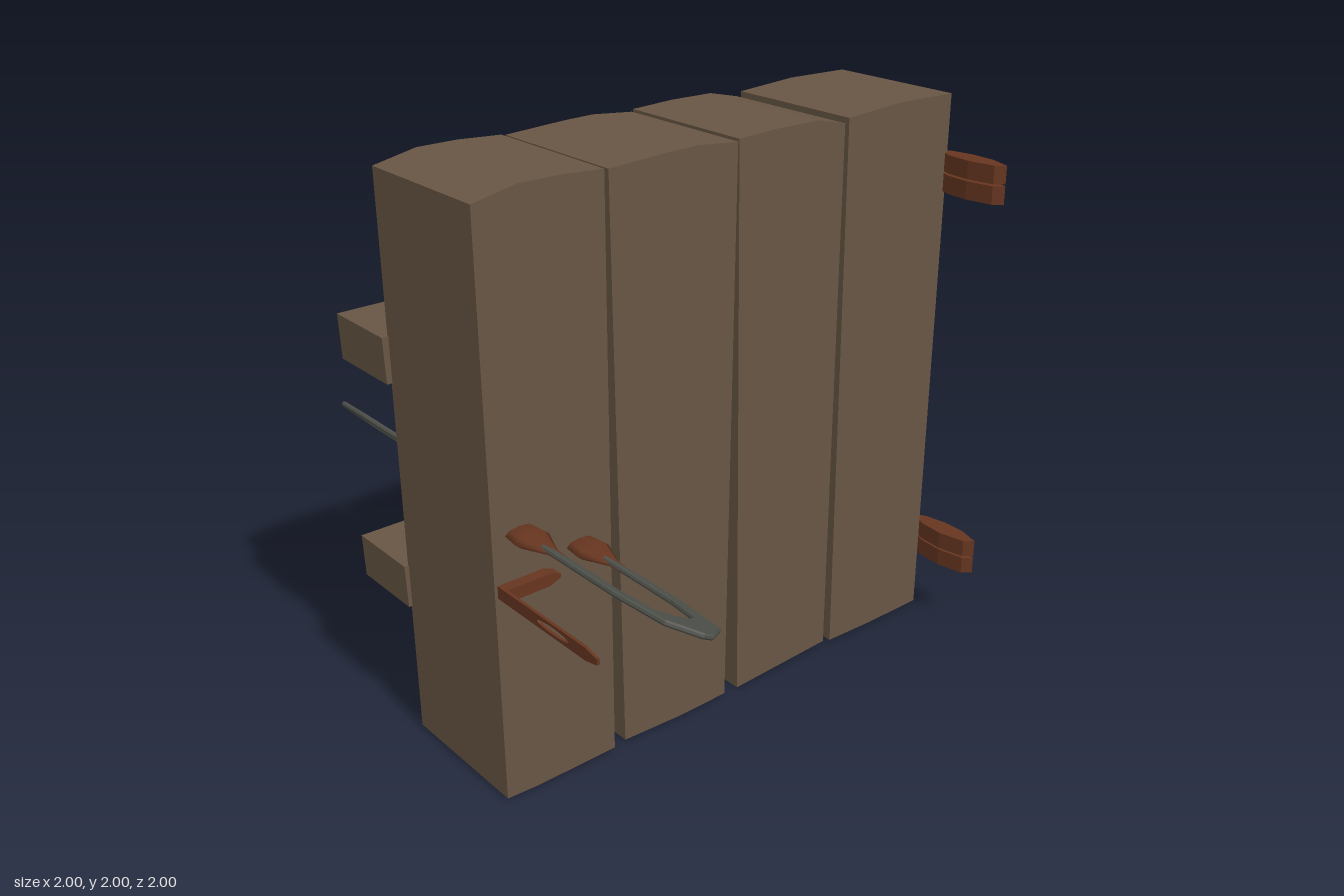
import * as THREE from 'three';

const wood = new THREE.MeshStandardMaterial({ name: 'weatheredWood', color: 0x685644 });
const rust = new THREE.MeshStandardMaterial({ name: 'rustedIron', color: 0x673620 });
const iron = new THREE.MeshStandardMaterial({ name: 'darkIron', color: 0x4e504a });

const toShape = (pts) => new THREE.Shape(pts.map(([x, y]) => new THREE.Vector2(x, y)));

function mesh(name, geometry, material, parent) {
  const m = new THREE.Mesh(geometry, material);
  m.name = name;
  parent.add(m);
  return m;
}

// Outline in x/y, pushed from z0 to z1
function slab(name, pts, z0, z1, material, parent) {
  const g = new THREE.ExtrudeGeometry(toShape(pts), { depth: z1 - z0, bevelEnabled: false });
  g.translate(0, 0, z0);
  return mesh(name, g, material, parent);
}

// Outline in x/z, raised from y0 to y1
function layer(name, pts, y0, y1, material, parent) {
  const g = new THREE.ExtrudeGeometry(toShape(pts.map(([x, z]) => [x, -z])), { depth: y1 - y0, bevelEnabled: false });
  g.rotateX(-Math.PI / 2);
  g.translate(0, y0, 0);
  return mesh(name, g, material, parent);
}

// Pull handle: a flat pointed loop between feet a and b, with flared rusty sockets
function pullHandle(name, a, b, side) {
  const group = new THREE.Group();
  group.name = name;
  const A = new THREE.Vector3(...a, 0), B = new THREE.Vector3(...b, 0);
  const u = B.clone().sub(A), h = u.length() / 2;
  u.normalize();
  const out = new THREE.Vector3(0, 0, side);
  const half = [[h + 0.013, 0.4], [h + 0.013, 0.74], [h - 0.016, 0.93], [0.018, 0.995]];
  const inner = [[0.03, 0.885], [h - 0.04, 0.86], [h - 0.014, 0.72], [h - 0.011, 0.4]];
  const right = [...half, ...half.map(([x, y]) => [-x, y]).reverse()];
  const left = [...inner.map(([x, y]) => [-x, y]).reverse(), ...inner];
  const g = new THREE.ExtrudeGeometry(toShape([...right, ...left]), {
    depth: 0.008, bevelThickness: 0.005, bevelSize: 0.005, bevelSegments: 1 });
  g.translate(0, 0, -0.004);
  const loop = mesh('handleLoop', g, iron, group);
  loop.quaternion.setFromRotationMatrix(
    new THREE.Matrix4().makeBasis(u, out, u.clone().cross(out)));
  loop.position.copy(A).add(B).multiplyScalar(0.5);

  const profile = [[0, 0.25], [0.05, 0.25], [0.06, 0.33], [0.02, 0.43], [0.017, 0.48], [0, 0.48]]
    .map(([r, y]) => new THREE.Vector2(r, y));
  for (const p of [A, B]) {
    const socket = new THREE.LatheGeometry(profile, 8);
    socket.rotateX(side * Math.PI / 2);
    socket.scale(1, 0.36, 1);
    mesh('handleSocket', socket, rust, group).position.copy(p);
  }
  return group;
}

export function createModel() {
  const model = new THREE.Group();
  model.name = 'woodenDoor';

  // Upright planks with uneven ends
  const planks = [
    [[-0.97, 0.012], [-0.85, 0.005], [-0.54, 0.005], [-0.53, 1.99], [-0.69, 2], [-0.83, 2], [-0.98, 1.97]],
    [[-0.495, 0.015], [-0.25, 0.003], [-0.05, 0.005], [-0.02, 1.985], [-0.18, 2], [-0.29, 1.998], [-0.515, 1.987]],
    [[0.01, 0.003], [0.44, 0.02], [0.442, 1.97], [0.32, 1.998], [0.15, 2], [-0.015, 1.993]],
    [[0.475, 0.01], [0.7, 0.002], [0.94, 0.002], [0.955, 1.995], [0.7, 2], [0.46, 1.985]],
  ];
  planks.forEach((p, i) => slab('plank' + (i + 1), p, -0.255, 0.265, wood, model));

  // Cross rails on the back
  slab('upperRail', [[-0.995, 1.285], [0.9, 1.285], [0.94, 1.355], [0.94, 1.44], [-1, 1.44]], -0.53, -0.25, wood, model);
  slab('lowerRail', [[-0.985, 0.487], [0.94, 0.487], [0.91, 0.64], [-0.99, 0.64]], -0.53, -0.25, wood, model);

  // Rust stain running over the top of the upper rail
  layer('rustStain', [[-0.45, -0.53], [-0.4, -0.52], [-0.36, -0.51], [-0.3, -0.52], [-0.16, -0.515],
    [-0.145, -0.43], [-0.1, -0.415], [-0.055, -0.43], [-0.045, -0.48], [0, -0.51], [0.03, -0.48],
    [0.04, -0.435], [0.12, -0.42], [0.23, -0.42], [0.24, -0.47], [0.27, -0.5], [0.285, -0.45],
    [0.3, -0.415], [0.4, -0.42], [0.41, -0.49], [0.5, -0.515], [0.54, -0.53]], 1.437, 1.443, rust, model);

  // Hinges: two leaf-shaped knuckles each
  const leaf = [[0.965, 0.222], [0.985, 0.26], [1, 0.34], [0.998, 0.43], [0.972, 0.512],
    [0.94, 0.485], [0.922, 0.385], [0.93, 0.29]];
  for (const [name, y] of [['upperHinge', 1.655], ['lowerHinge', 0.223]]) {
    const hinge = new THREE.Group();
    hinge.name = name;
    for (const dy of [0, 0.071]) layer('hingeKnuckle', leaf, y + dy, y + dy + 0.064, rust, hinge);
    model.add(hinge);
  }

  // Pull handles on both faces
  model.add(pullHandle('frontHandle', [-0.875, 0.946], [-0.655, 0.828], 1));
  model.add(pullHandle('backHandle', [-0.82, 0.952], [-0.695, 0.822], -1));

  // Latch: pointed plate on the door and a slotted hasp sticking out
  const latch = new THREE.Group();
  latch.name = 'latch';
  slab('latchPlate', [[-0.96, 0.747], [-0.8, 0.747], [-0.76, 0.762], [-0.76, 0.776], [-0.8, 0.79], [-0.96, 0.79]],
    0.26, 0.305, rust, latch);
  const hasp = toShape([[0.26, 0.747], [0.7, 0.747], [0.755, 0.758], [0.755, 0.778], [0.7, 0.79], [0.26, 0.79]]);
  const slot = new THREE.Path();
  slot.absellipse(0.545, 0.768, 0.078, 0.011, 0, Math.PI * 2);
  hasp.holes.push(slot);
  const haspGeo = new THREE.ExtrudeGeometry(hasp, { depth: 0.01, bevelEnabled: false, curveSegments: 6 });
  haspGeo.rotateY(-Math.PI / 2);
  haspGeo.translate(-0.953, 0, 0);
  mesh('hasp', haspGeo, rust, latch);
  model.add(latch);

  return model;
}
